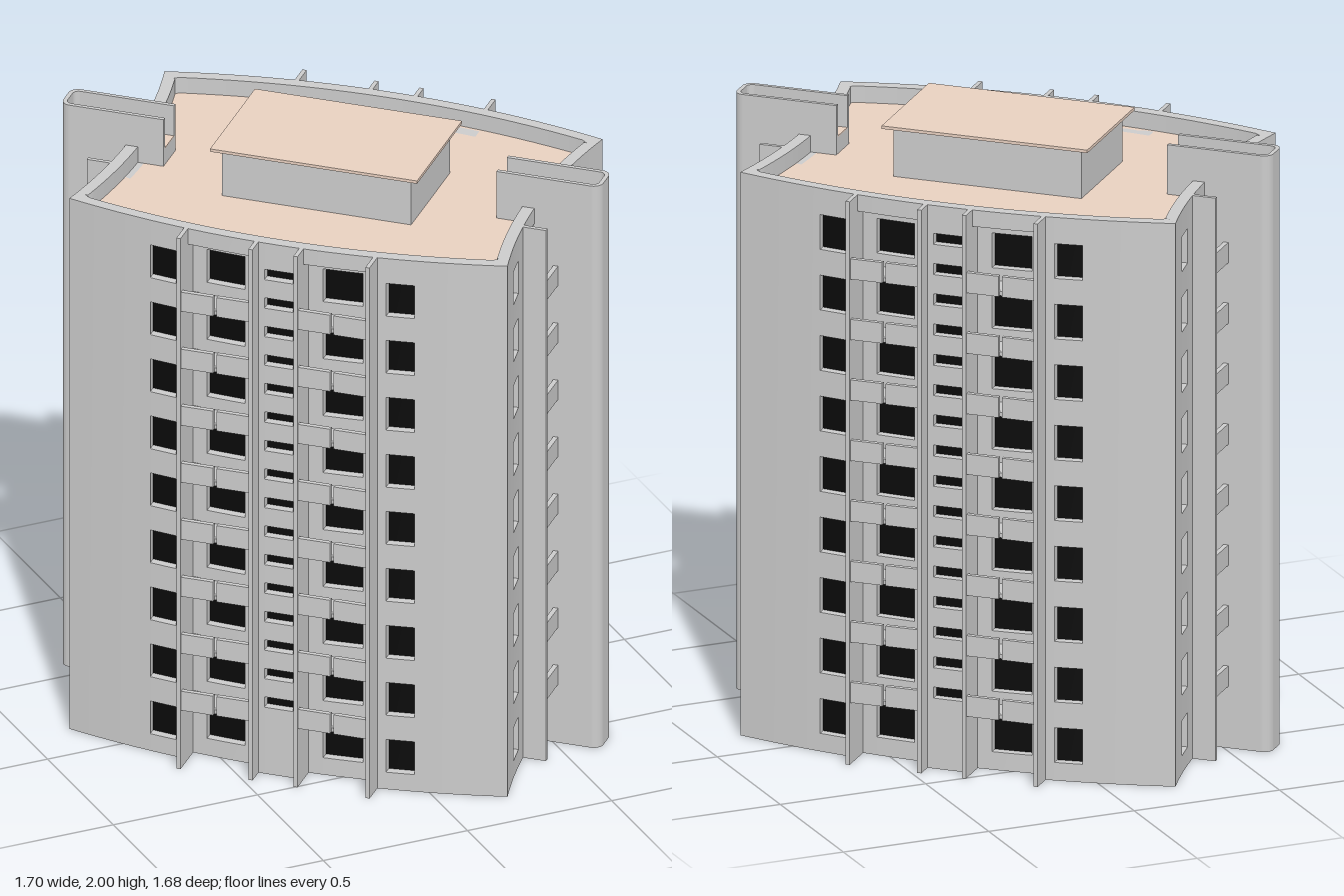
import * as THREE from 'three';
import { mergeGeometries } from 'three/addons/utils/BufferGeometryUtils.js';

const FLOORS = 9, STEP = 0.202, TOP = 1.88, ROOF = 1.825, THICK = 0.04;
const grey = new THREE.MeshStandardMaterial({ color: 0xcccccc, side: THREE.DoubleSide });
const beige = new THREE.MeshStandardMaterial({ color: 0xe8d0c0, side: THREE.DoubleSide });
const black = new THREE.MeshStandardMaterial({ color: 0x0a0a0a });

// Window rows: one per floor, or closely spaced stair slits
const floorRows = Array.from({ length: FLOORS }, (_, k) => [k * STEP + 0.06, k * STEP + 0.176]);
const slitRows = Array.from({ length: 16 }, (_, k) => [k * 0.101 + 0.235, k * 0.101 + 0.272]);

// Each facade faces +z; bulge is positive for a convex wall, negative for a hollow one
const LONG = {
  half: 0.73, dist: 0.465, bulge: 0.095, tip: 0.612, recess: 0.05,
  bays: [[0.08, 0.31]], fins: [0.075, 0.315],
  columns: [[0.35, 0.44, floorRows], [0.13, 0.26, floorRows, true]],
  slit: 0.048,
};
const SHORT = {
  half: 0.465, dist: 0.73, bulge: -0.05, tip: 0.76, recess: 0.02,
  bays: [[0.055, 0.18]], fins: [0.185],
  columns: [[0.255, 0.34, floorRows], [0.08, 0.16, floorRows, true]],
};

const profile = (f, x) => f.dist + f.bulge * (1 - (x / f.half) ** 2);

function mesh(name, geometry, material) {
  const m = new THREE.Mesh(geometry, material);
  m.name = name;
  return m;
}

function box(x0, x1, y0, y1, z0, z1, segments = 1) {
  return new THREE.BoxGeometry(x1 - x0, y1 - y0, z1 - z0, segments, 1, 1)
    .translate((x0 + x1) / 2, (y0 + y1) / 2, (z0 + z1) / 2);
}

// Box bent along the facade curve, between two depths behind its face
function bent(f, x0, x1, y0, y1, d0, d1) {
  const g = box(x0, x1, y0, y1, -d1, -d0, Math.max(1, Math.ceil((x1 - x0) / 0.06)));
  const p = g.attributes.position;
  for (let i = 0; i < p.count; i++) {
    const x = p.getX(i), d = -p.getZ(i);
    const mitre = Math.abs(x) > f.half - 1e-4 ? Math.sign(x) * d : 0;
    p.setXYZ(i, x - mitre, p.getY(i), profile(f, x) - d);
  }
  g.computeVertexNormals();
  return g;
}

function makeFacade(f, name) {
  const wall = [], panes = [], fins = [], balconies = [];
  const mirror = ([a, b, ...rest]) => [[a, b, ...rest], [-b, -a, ...rest]];
  const columns = f.columns.flatMap(mirror);
  if (f.slit) columns.push([-f.slit, f.slit, slitRows]);
  const bays = f.bays.flatMap(mirror);

  // Wall strips between all breaks, pierced where a window column runs
  const edges = [-f.half, f.half, ...columns.flatMap(c => [c[0], c[1]]), ...bays.flat()]
    .sort((a, b) => a - b);
  for (let i = 0; i < edges.length - 1; i++) {
    const a = edges[i], b = edges[i + 1], mid = (a + b) / 2;
    if (b - a < 1e-5) continue;
    const inside = c => mid > c[0] && mid < c[1];
    const inBay = bays.some(inside);
    const column = columns.find(inside);
    const d = inBay ? f.recess : 0, top = inBay ? ROOF : TOP;
    let y = 0;
    for (const [y0, y1] of column ? column[2] : []) {
      wall.push(bent(f, a, b, y, y0, d, d + THICK));
      panes.push(bent(f, a, b, y0, y1, d + 0.028, d + 0.036));
      y = y1;
    }
    wall.push(bent(f, a, b, y, top, d, d + THICK));
    if (inBay) wall.push(bent(f, a, b, ROOF, TOP, 0, THICK));
  }

  // Upright fins beside the balcony bays
  for (const x of f.fins.flatMap(v => [v, -v])) {
    const z = profile(f, x), w = 0.007;
    fins.push(box(x - w, x + w, 0, TOP, z - 0.03, f.tip + 0.005));
    fins.push(box(x - w, x + w, 0, ROOF - 0.005, z - f.recess - THICK, z - 0.03));
  }

  // Balcony floors with a split parapet, from the second storey up
  for (const [a, b] of bays) {
    const mid = (a + b) / 2, gap = f === LONG ? 0.006 : 0;
    for (let k = 1; k < FLOORS; k++) {
      const y = k * STEP + 0.004;
      const back = profile(f, mid) - f.recess - 0.03;
      balconies.push(box(a, b, y, y + 0.014, back, f.tip - 0.012));
      if (gap) {
        balconies.push(box(a, mid - gap, y, y + 0.068, f.tip - 0.016, f.tip));
        balconies.push(box(mid + gap, b, y, y + 0.068, f.tip - 0.016, f.tip));
      } else balconies.push(box(a, b, y, y + 0.068, f.tip - 0.016, f.tip));
    }
  }

  const g = new THREE.Group();
  g.name = name;
  g.add(mesh('wall', mergeGeometries(wall), grey), mesh('windowPanes', mergeGeometries(panes), black),
    mesh('fins', mergeGeometries(fins), grey), mesh('balconies', mergeGeometries(balconies), grey));
  return g;
}

// Rounded-end plan of the tower at the short facade, pointing along +x
function towerOutline(path, inner, outer, w, r) {
  path.moveTo(inner, -w);
  path.lineTo(outer - r, -w);
  path.absarc(outer - r, -w + r, r, -Math.PI / 2, 0, false);
  path.lineTo(outer, w - r);
  path.absarc(outer - r, w - r, r, 0, Math.PI / 2, false);
  path.lineTo(inner, w);
  return path;
}

function extrudeUp(shape, y0, y1) {
  return new THREE.ExtrudeGeometry(shape, { depth: y1 - y0, bevelEnabled: false, curveSegments: 6 })
    .rotateX(-Math.PI / 2).translate(0, y0, 0);
}

function makeTower() {
  const g = new THREE.Group();
  g.name = 'stairTower';
  const inner = 0.555, outer = 0.9, w = 0.058, t = 0.014;
  const solid = towerOutline(new THREE.Shape(), 0.655, outer, w, 0.032);
  const upper = towerOutline(new THREE.Shape(), inner, outer, w, 0.032);
  const floor = towerOutline(new THREE.Shape(), inner, outer - t, w - t, 0.02);
  // U-shaped parapet, open towards the roof
  const rim = towerOutline(new THREE.Shape(), inner, outer, w, 0.032);
  const cut = towerOutline(new THREE.Path(), inner, outer - t, w - t, 0.02).getPoints(6).reverse();
  cut.forEach(p => rim.lineTo(p.x, p.y));
  g.add(mesh('shaft', extrudeUp(solid, 0, ROOF), grey),
    mesh('head', extrudeUp(upper, ROOF, TOP), grey),
    mesh('rim', extrudeUp(rim, TOP, 1.99), grey),
    mesh('towerRoof', extrudeUp(floor, TOP, TOP + 0.004), beige));
  return g;
}

function makeRoof() {
  const pts = [], n = 20, inset = 0.03;
  const side = (f, turn) => {
    for (let i = 0; i < n; i++) {
      const x = (f.half - inset) * (1 - 2 * i / n);
      pts.push(new THREE.Vector2(x, profile(f, x) - inset).rotateAround(new THREE.Vector2(), turn));
    }
  };
  side(LONG, 0);
  side(SHORT, Math.PI / 2);
  side(LONG, Math.PI);
  side(SHORT, -Math.PI / 2);
  return mesh('roof', new THREE.ShapeGeometry(new THREE.Shape(pts)).rotateX(-Math.PI / 2).translate(0, ROOF, 0), beige);
}

export function createModel() {
  const model = new THREE.Group();
  model.name = 'apartmentBlock';
  const block = new THREE.Group();
  block.name = 'block';
  block.rotation.y = -0.756;
  model.add(block);

  // Opposite facades and towers are half-turn copies
  for (const turn of [0, Math.PI]) {
    const long = makeFacade(LONG, 'longFacade');
    long.rotation.y = turn;
    const short = makeFacade(SHORT, 'shortFacade');
    short.rotation.y = turn + Math.PI / 2;
    const tower = makeTower();
    tower.rotation.y = turn;
    block.add(long, short, tower);
  }

  // Roof deck and rooftop room with an overhanging slab
  block.add(makeRoof(),
    mesh('rooftopRoom', box(-0.315, 0.315, ROOF, 1.99, -0.19, 0.19), grey),
    mesh('rooftopSlab', box(-0.345, 0.345, 1.99, 2.0, -0.22, 0.22), beige));
  return model;
}
